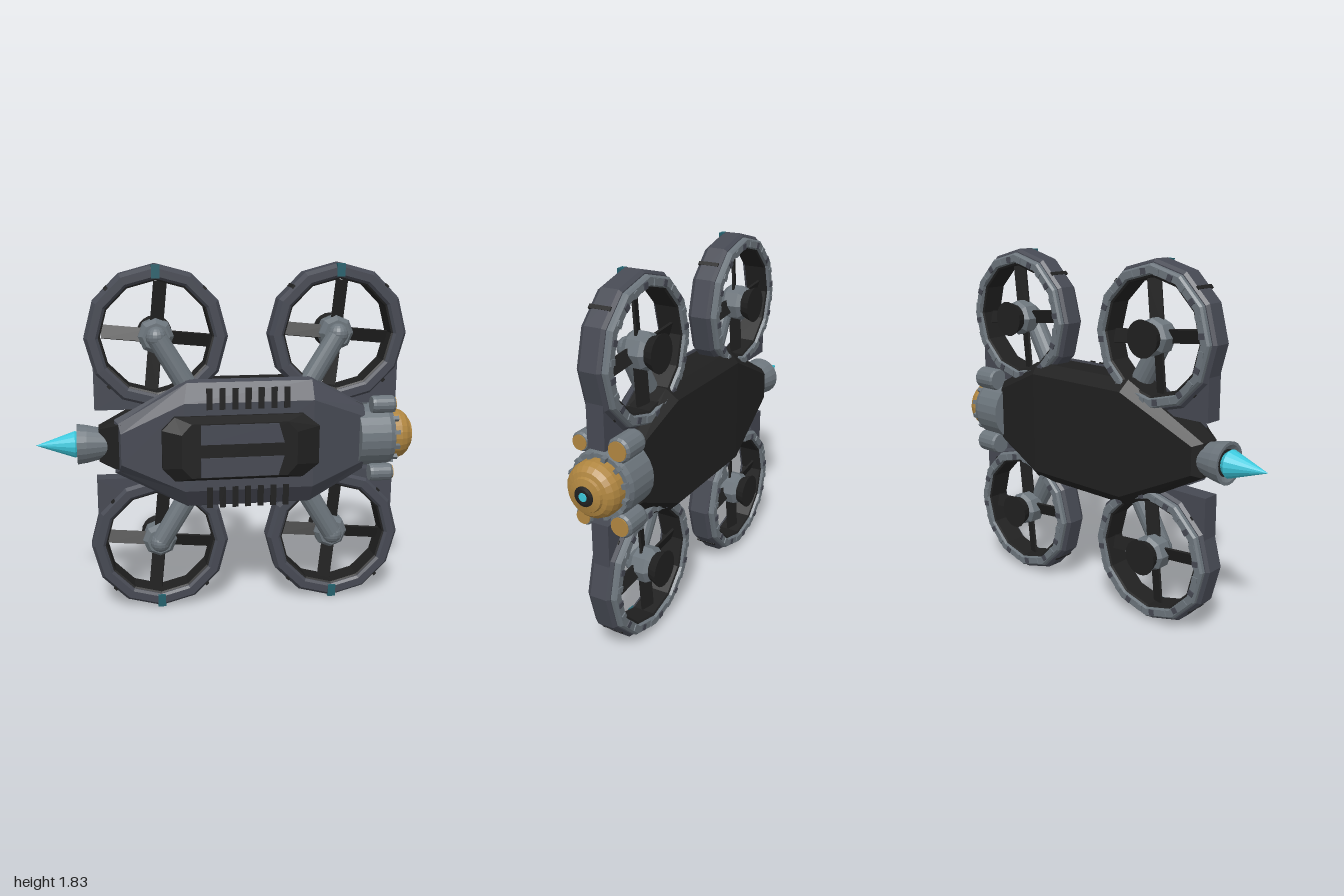
import * as THREE from 'three';

const mat = (name, color, flat = true) => {
  const m = new THREE.MeshStandardMaterial({ color });
  m.name = name;
  m.flatShading = flat;
  return m;
};

export function createModel() {
  const root = new THREE.Group();
  root.name = 'quadRotorCraft';
  const slate = mat('slate', 0x464953);
  const black = mat('black', 0x202020);
  const grey = mat('grey', 0x6c757c);
  const gold = mat('gold', 0xb08640);
  const cyan = mat('cyan', 0x3cc8dc);
  const teal = mat('darkTeal', 0x24606c);
  const CY = 0.922, CZ = -0.045;

  const add = (parent, name, geo, material, x = 0, y = 0, z = 0) => {
    const m = new THREE.Mesh(geo, material);
    m.name = name;
    m.position.set(x, y, z);
    parent.add(m);
    return m;
  };
  const box = (w, h, d) => new THREE.BoxGeometry(w, h, d);
  const lathe = (pts, n) => new THREE.LatheGeometry(pts.map(p => new THREE.Vector2(p[0], p[1])), n);
  // Turned part along x; profile is [radius, x]
  const turnedX = (name, pts, material, n = 24, y = CY, z = CZ) => {
    const g = lathe(pts, n);
    g.rotateZ(-Math.PI / 2);
    return add(root, name, g, material, 0, y, z);
  };
  // Rod between two points
  const rod = (parent, name, a, b, r0, r1, material) => {
    const d = b.clone().sub(a);
    const m = add(parent, name, new THREE.CylinderGeometry(r1, r0, d.length(), 16), material);
    m.position.copy(a).addScaledVector(d, 0.5);
    m.quaternion.setFromUnitVectors(new THREE.Vector3(0, 1, 0), d.normalize());
    return m;
  };
  // Hull from upper half outlines [x, y, z] (right to left), mirrored in y, layered back to front
  const loft = layers => {
    const loops = layers.map(h => [...h, ...h.map(p => [p[0], -p[1], p[2]]).reverse()]);
    const n = loops[0].length, pos = [];
    const quad = (a, b, c, d) => pos.push(...a, ...b, ...c, ...a, ...c, ...d);
    for (let l = 0; l < loops.length - 1; l++)
      for (let i = 0; i < n; i++) {
        const j = (i + 1) % n;
        quad(loops[l][i], loops[l][j], loops[l + 1][j], loops[l + 1][i]);
      }
    const f = loops[loops.length - 1], b = loops[0];
    for (let i = 0; i < n / 2 - 1; i++) {
      quad(f[i], f[i + 1], f[n - 2 - i], f[n - 1 - i]);
      quad(b[n - 1 - i], b[n - 2 - i], b[i + 1], b[i]);
    }
    const g = new THREE.BufferGeometry();
    g.setAttribute('position', new THREE.Float32BufferAttribute(pos, 3));
    g.computeVertexNormals();
    return g;
  };

  // Hull: black back shell and slate front shell
  add(root, 'backHull', loft([
    [[0.69, 0.14, -0.15], [0.40, 0.27, -0.175], [-0.22, 0.27, -0.175], [-0.64, 0.07, -0.14]],
    [[0.71, 0.175, -0.11], [0.42, 0.325, -0.12], [-0.23, 0.325, -0.12], [-0.68, 0.085, -0.10]],
    [[0.71, 0.175, 0.02], [0.42, 0.325, 0.04], [-0.23, 0.325, 0.04], [-0.68, 0.085, 0.0]],
    [[0.70, 0.15, 0.03], [0.42, 0.30, 0.05], [-0.23, 0.30, 0.06], [-0.57, 0.12, 0.07]],
  ]), black, 0, CY);
  add(root, 'frontHull', loft([
    [[0.71, 0.18, 0.0], [0.42, 0.338, 0.03], [-0.23, 0.338, 0.03], [-0.60, 0.14, 0.03]],
    [[0.71, 0.17, 0.03], [0.42, 0.325, 0.06], [-0.23, 0.325, 0.06], [-0.58, 0.125, 0.06]],
    [[0.71, 0.12, 0.06], [0.42, 0.23, 0.122], [-0.25, 0.23, 0.122], [-0.57, 0.08, 0.105]],
  ]), slate, 0, CY);

  // Canopy and its two plates
  add(root, 'canopy', loft([
    [[0.445, 0.10, 0.10], [0.36, 0.167, 0.10], [-0.30, 0.167, 0.10], [-0.365, 0.10, 0.10]],
    [[0.445, 0.10, 0.14], [0.36, 0.167, 0.14], [-0.30, 0.167, 0.14], [-0.365, 0.10, 0.14]],
    [[0.32, 0.085, 0.194], [0.27, 0.14, 0.194], [-0.22, 0.14, 0.194], [-0.27, 0.085, 0.194]],
  ]), black, 0, CY);
  for (const s of [1, -1]) {
    const shape = new THREE.Shape([[-0.175, 0.035], [0.25, 0.035], [0.22, 0.135], [-0.175, 0.135]]
      .map(p => new THREE.Vector2(p[0], p[1] * s)));
    add(root, 'canopyPlate', new THREE.ExtrudeGeometry(shape, { depth: 0.008, bevelEnabled: false }), slate, 0, CY, 0.196);
    // Raised vent slats
    for (let i = 0; i < 7; i++)
      add(root, 'ventSlat', box(0.03, 0.108, 0.009), black, -0.126 + i * 0.066, CY + s * 0.257, 0.153);
  }

  // Sensor nose
  turnedX('noseCollar', [[0, 0.68], [0.165, 0.68], [0.165, 0.84], [0.155, 0.868], [0, 0.868]], grey);
  turnedX('noseDome', [[0.135, 0.86], [0.135, 0.91], [0.125, 0.94], [0.105, 0.962], [0.085, 0.968], [0.08, 0.98], [0.05, 0.988], [0, 0.988]], gold);
  turnedX('lensRim', [[0.048, 0.975], [0.048, 0.992], [0.035, 0.997], [0, 0.997]], black);
  turnedX('lens', [[0.024, 0.99], [0.02, 1.0], [0, 1.0]], cyan, 16);
  for (let i = 0; i < 12; i++) {
    const a = (i + 0.5) * Math.PI / 6;
    const bolt = add(root, 'collarBolt', box(0.035, 0.022, 0.022), grey, 0.875, CY + Math.sin(a) * 0.146, CZ + Math.cos(a) * 0.146);
    bolt.rotation.x = -a;
  }
  // Side sensor pods
  for (const s of [1, -1])
    for (const [z, r, x0] of [[-0.14, 0.06, 0.72], [0.058, 0.047, 0.74]]) {
      const y = CY + s * 0.185;
      turnedX('sensorPod', [[0, x0], [r * 0.9, x0], [r, x0 + 0.015], [r, 0.85], [r * 0.85, 0.862], [0, 0.862]], grey, 16, y, z);
      turnedX('podLens', [[r * 0.78, 0.86], [r * 0.78, 0.867], [0, 0.867]], gold, 16, y, z);
    }

  // Tail thruster
  turnedX('tailNozzle', [[0.06, -0.77], [0.09, -0.79], [0.105, -0.79], [0.098, -0.74], [0.07, -0.62], [0, -0.60]], grey, 20);
  turnedX('nozzleInside', [[0, -0.775], [0.09, -0.775], [0.09, -0.76], [0, -0.76]], black, 20);
  turnedX('tailFlame', [[0, -1.0], [0.07, -0.80], [0.05, -0.77], [0, -0.77]], cyan, 16);

  // Four ducted rotors
  for (const sx of [-1, 1])
    for (const sy of [-1, 1]) {
      const g = new THREE.Group();
      g.name = 'rotorUnit';
      g.position.set(sx < 0 ? -0.373 : 0.568, CY + sy * 0.549, 0);
      root.add(g);

      const ring = (name, pts, material, n = 12) => {
        const geo = lathe(pts, n);
        geo.rotateX(Math.PI / 2);
        return add(g, name, geo, material);
      };
      ring('ductRing', [[0.30, -0.11], [0.35, -0.11], [0.364, -0.095], [0.364, -0.01], [0.345, 0.015],
        [0.305, 0.015], [0.292, 0.003], [0.292, -0.10], [0.30, -0.11]], slate);
      ring('ductLiner', [[0.293, -0.125], [0.293, -0.002], [0.283, -0.006], [0.283, -0.12], [0.293, -0.125]], black);
      ring('rearRing', [[0.30, -0.138], [0.335, -0.138], [0.345, -0.128], [0.345, -0.108], [0.29, -0.108], [0.30, -0.138]], grey);

      // Rear ring teeth
      for (let i = 0; i < 24; i++) {
        const a = (i + 0.5) * Math.PI / 12;
        const tooth = add(g, 'rearTooth', box(0.03, 0.028, 0.022), i % 2 ? slate : grey, Math.cos(a) * 0.308, Math.sin(a) * 0.308, -0.133);
        tooth.rotation.z = a;
      }
      // Marker light with dark clips
      add(g, 'markerLight', box(0.042, 0.066, 0.03), teal, 0, sy * 0.327, 0.003);
      for (const a of [0.25, 0.75, 1.25, 1.75]) {
        const clip = add(g, 'ductClip', box(0.012, 0.02, 0.11), black, Math.cos(a * Math.PI) * 0.347, Math.sin(a * Math.PI) * 0.347, -0.045);
        clip.rotation.z = a * Math.PI;
      }

      // Outer corner fairing
      const shape = new THREE.Shape();
      shape.moveTo(sx * 0.323, 0);
      shape.lineTo(sx * 0.323, -sy * 0.366);
      shape.lineTo(0, -sy * 0.366);
      for (let i = 0; i <= 6; i++) {
        const a = i * Math.PI / 12;
        shape.lineTo(sx * 0.315 * Math.sin(a), -sy * 0.315 * Math.cos(a));
      }
      add(g, 'cornerFairing', new THREE.ExtrudeGeometry(shape, { depth: 0.09, bevelEnabled: false }), slate, 0, 0, -0.095);

      // Blades, hub and motor
      for (let i = 0; i < 4; i++) {
        const holder = new THREE.Group();
        holder.name = 'bladeHolder';
        holder.rotation.z = i * Math.PI / 2 - 0.1;
        g.add(holder);
        add(holder, 'blade', box(0.25, 0.07, 0.012), black, 0.15, 0, -0.07).rotation.x = 0.35;
      }
      ring('hub', [[0, -0.14], [0.075, -0.14], [0.092, -0.12], [0.092, -0.05], [0.07, -0.02], [0, -0.02]], grey, 8);
      ring('motor', [[0, -0.19], [0.092, -0.19], [0.07, -0.135], [0, -0.135]], black, 20);

      // Support arm with rounded end
      const end = new THREE.Vector3(-sx * 0.215, -sy * 0.36, -0.015);
      rod(g, 'supportArm', new THREE.Vector3(0, 0, -0.015), end, 0.052, 0.058, grey);
      add(g, 'armEnd', new THREE.SphereGeometry(0.054, 16, 10), grey, 0, 0, -0.015);
    }
  return root;
}
